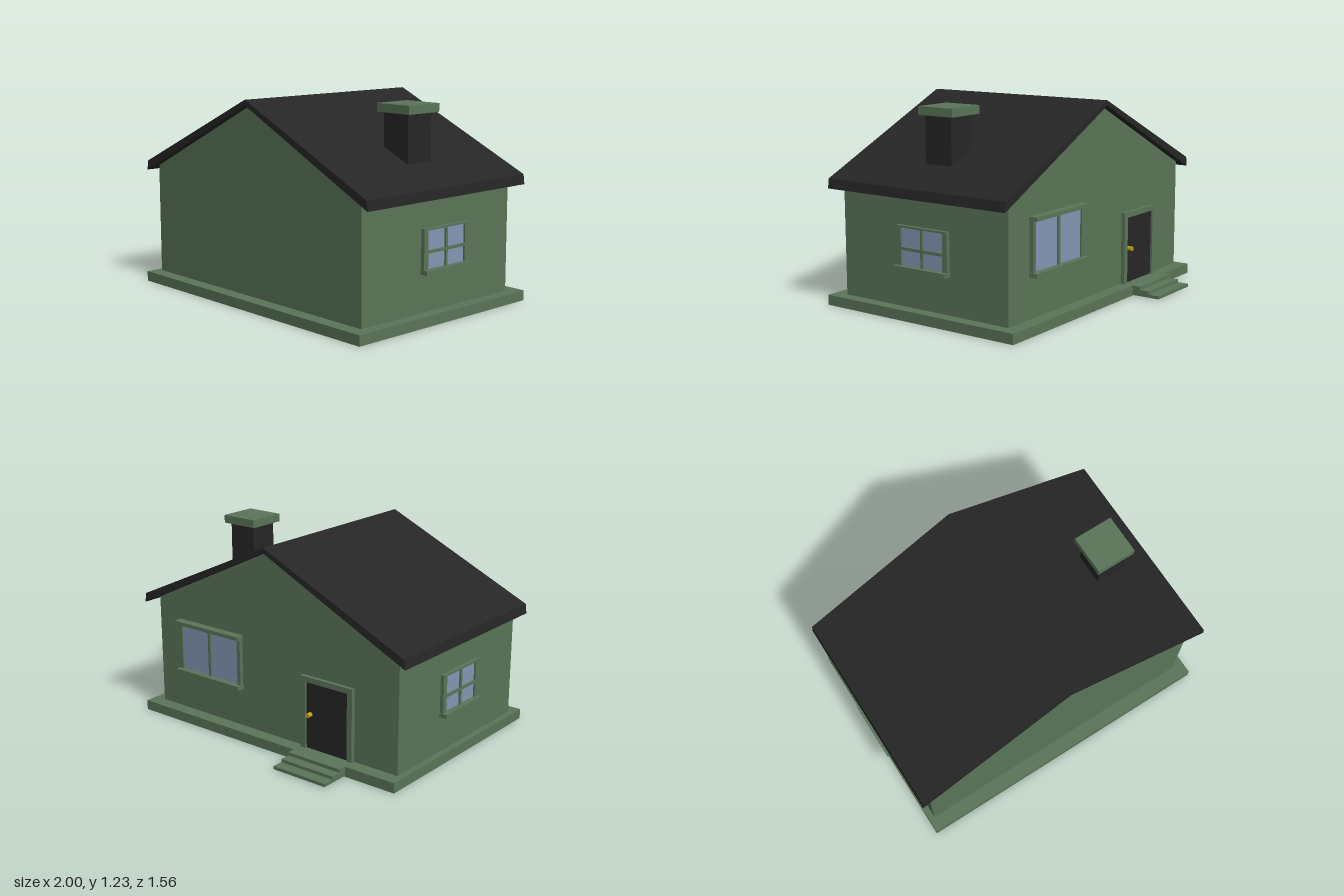
import * as THREE from 'three';

const mat = (color) => new THREE.MeshStandardMaterial({ color });
const green = mat(0x5a7558), dark = mat(0x262626), glass = mat(0x8496b4), gold = mat(0xc9a01a);

function add(parent, name, geometry, material) {
  const mesh = new THREE.Mesh(geometry, material);
  mesh.name = name;
  parent.add(mesh);
  return mesh;
}

// Box given by its two extents on each axis
function box(parent, name, material, [x0, x1], [y0, y1], [z0, z1]) {
  const mesh = add(parent, name, new THREE.BoxGeometry(x1 - x0, y1 - y0, z1 - z0), material);
  mesh.position.set((x0 + x1) / 2, (y0 + y1) / 2, (z0 + z1) / 2);
  return mesh;
}

// Gable outline pushed along z
function prism(points, z0, z1) {
  const shape = new THREE.Shape(points.map(([x, y]) => new THREE.Vector2(x, y)));
  return new THREE.ExtrudeGeometry(shape, { depth: z1 - z0, bevelEnabled: false }).translate(0, 0, z0);
}

// Rectangular frame with panes cut out, facing +z with its back at z = 0
function frame(parent, [x0, x1], [y0, y1], depth, openings) {
  const shape = new THREE.Shape([[x0, y0], [x1, y0], [x1, y1], [x0, y1]].map((p) => new THREE.Vector2(...p)));
  for (const [[a, b], [c, d]] of openings) {
    shape.holes.push(new THREE.Path([[a, c], [a, d], [b, d], [b, c]].map((p) => new THREE.Vector2(...p))));
  }
  add(parent, 'frame', new THREE.ExtrudeGeometry(shape, { depth, bevelEnabled: false }), green);
}

// Four-pane window, centred on its own x
function sideWindow() {
  const g = new THREE.Group();
  const openings = [];
  for (const xs of [[-0.152, -0.008], [0.008, 0.152]]) {
    for (const ys of [[0.317, 0.407], [0.424, 0.537]]) openings.push([xs, ys]);
  }
  frame(g, [-0.186, 0.186], [0.3, 0.549], 0.023, openings);
  box(g, 'pane', glass, [-0.16, 0.16], [0.31, 0.54], [0.004, 0.012]);
  box(g, 'sill', green, [-0.19, 0.19], [0.292, 0.317], [0, 0.05]);
  return g;
}

// Wide two-pane window with lintel and sill
function wideWindow() {
  const g = new THREE.Group();
  frame(g, [-0.255, 0.255], [0.32, 0.636], 0.024, [-1, 1].map((s) => [
    s < 0 ? [-0.23, -0.009] : [0.009, 0.23], [0.332, 0.625],
  ]));
  box(g, 'pane', glass, [-0.24, 0.24], [0.325, 0.63], [0.004, 0.013]);
  box(g, 'lintel', green, [-0.262, 0.262], [0.625, 0.648], [0, 0.053]);
  box(g, 'sill', green, [-0.262, 0.262], [0.307, 0.332], [0, 0.053]);
  return g;
}

export function createModel() {
  const house = new THREE.Group();
  house.name = 'house';

  // Base and walls
  box(house, 'plinth', green, [-0.972, 0.985], [0, 0.062], [-0.595, 0.78]);
  add(house, 'walls', prism([
    [-0.934, 0.05], [0.911, 0.05], [0.911, 0.757], [0, 1.194], [-0.934, 0.746],
  ], -0.51, 0.695), green);

  // Two sloping roof slabs meeting at the ridge
  add(house, 'roof', prism([
    [-1, 0.715], [0, 1.195], [1, 0.715], [0.992, 0.774], [0, 1.227], [-0.992, 0.774],
  ], -0.555, 0.74), dark);

  // Chimney
  box(house, 'chimney', dark, [0.572, 0.76], [0.85, 1.165], [0, 0.19]);
  box(house, 'chimneyCap', green, [0.54, 0.79], [1.163, 1.213], [-0.032, 0.215]);

  // Windows on both sides
  for (const [name, x, turn] of [['leftWindow', 0.93, 1], ['rightWindow', -0.945, -1]]) {
    const w = sideWindow();
    w.name = name;
    w.position.set(x, 0, 0.069);
    w.rotation.y = turn * Math.PI / 2;
    house.add(w);
  }

  // Window at the back
  const back = wideWindow();
  back.name = 'backWindow';
  back.position.set(0.467, 0, -0.515);
  back.rotation.y = Math.PI;
  house.add(back);

  // Back door with surround and knob
  const door = new THREE.Group();
  door.name = 'door';
  door.position.set(-0.443, 0, -0.51);
  door.rotation.y = Math.PI;
  house.add(door);
  for (const s of [-1, 1]) {
    box(door, 'jamb', green, s < 0 ? [-0.188, -0.152] : [0.152, 0.188], [0.06, 0.51], [0, 0.025]);
  }
  box(door, 'header', green, [-0.152, 0.152], [0.477, 0.51], [0, 0.025]);
  box(door, 'doorPanel', dark, [-0.152, 0.152], [0.06, 0.477], [0, 0.012]);
  const knob = add(door, 'knob', new THREE.CylinderGeometry(0.014, 0.014, 0.032, 16), gold);
  knob.rotation.x = Math.PI / 2;
  knob.position.set(-0.122, 0.278, 0.026);

  // Three steps up to the door
  [[0.005, 0.024, -0.78], [0.024, 0.043, -0.71], [0.043, 0.064, -0.647]].forEach(([y0, y1, z]) => {
    box(house, 'step', green, [-0.631, -0.255], [y0, y1], [z, -0.59]);
  });

  return house;
}
